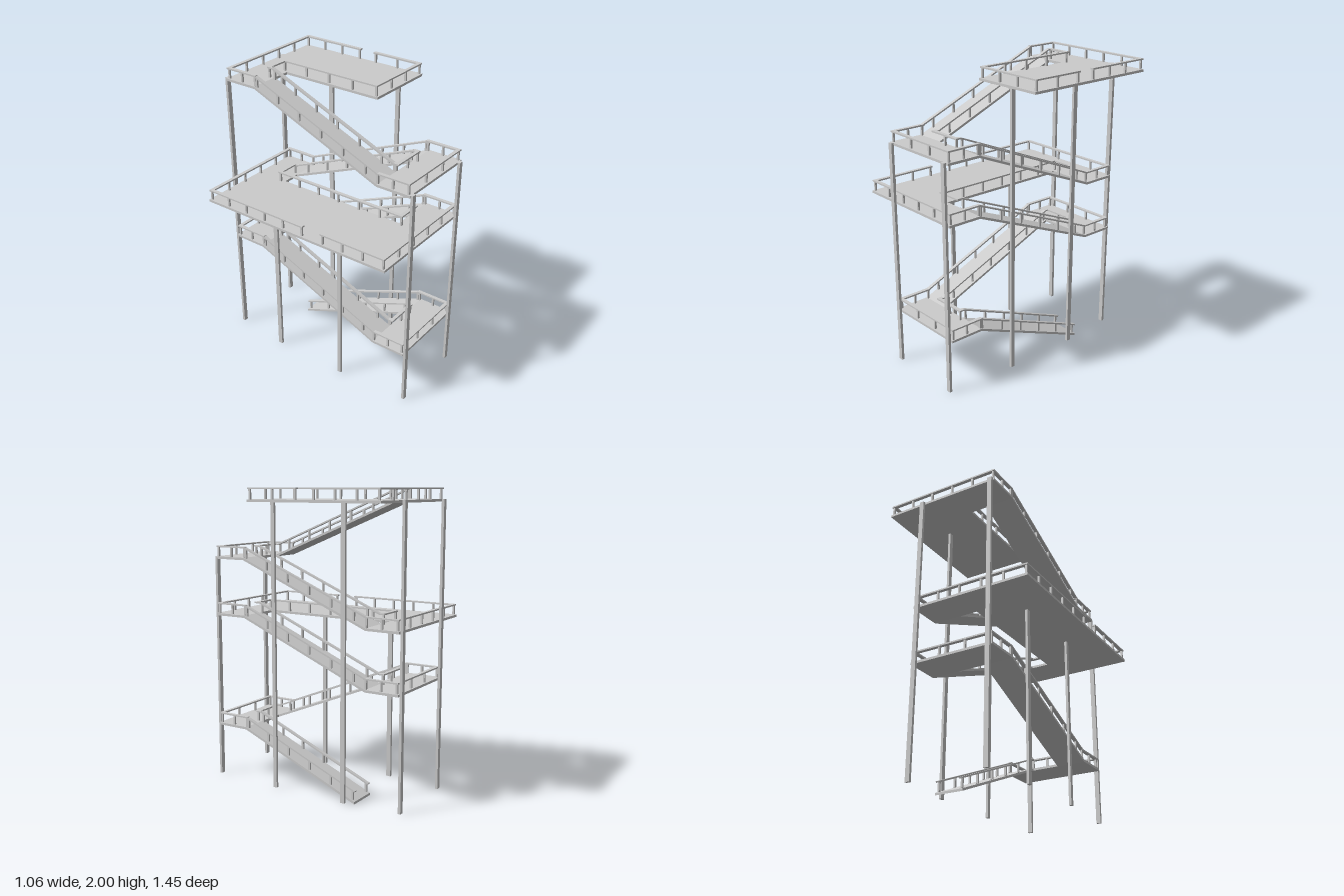
import * as THREE from 'three';

const mat = new THREE.MeshStandardMaterial({ color: 0xcccccc, flatShading: true, side: THREE.DoubleSide });
const SLAB = 0.016, RAIL_W = 0.024, RAIL_T = 0.01, RAIL_Y = 0.067, POST = 0.013;
const END = 0.47; // z where ramps meet the landings
const level = (k) => 0.3875 * k - 0.01;

function add(parent, name, geometry, x = 0, y = 0, z = 0) {
  const mesh = new THREE.Mesh(geometry, mat);
  mesh.name = name;
  mesh.position.set(x, y, z);
  parent.add(mesh);
  return mesh;
}

const polygon = (pts) => new THREE.Shape(pts.map(([a, b]) => new THREE.Vector2(a, b)));

// Flat floor from an (x, z) outline, top surface at y
function addSlab(parent, name, pts, y) {
  const geo = new THREE.ExtrudeGeometry(polygon(pts), { depth: SLAB, bevelEnabled: false });
  geo.rotateX(Math.PI / 2);
  add(parent, name, geo, 0, y, 0);
}

// Handrail bar between two points
function addBar(parent, a, b, extra) {
  const bar = add(parent, 'handrail', new THREE.BoxGeometry(RAIL_W, RAIL_T, a.distanceTo(b) + extra));
  bar.position.copy(a).add(b).multiplyScalar(0.5);
  bar.lookAt(b);
}

function addPost(parent, x, y, z) {
  const h = RAIL_Y;
  add(parent, 'railPost', new THREE.BoxGeometry(POST, h, POST), x, y + h / 2, z);
}

// Level railing along (x, z) points, posts evenly spaced on each run
function addRailing(parent, pts, y) {
  const group = new THREE.Group();
  group.name = 'railing';
  parent.add(group);
  for (let i = 0; i < pts.length - 1; i++) {
    const a = new THREE.Vector3(pts[i][0], y + RAIL_Y, pts[i][1]);
    const b = new THREE.Vector3(pts[i + 1][0], y + RAIL_Y, pts[i + 1][1]);
    const len = a.distanceTo(b);
    addBar(group, a, b, len > 0.1 ? RAIL_W : 0);
    if (len < 0.1) continue;
    const n = Math.ceil(len / 0.19);
    for (let j = i ? 1 : 0; j <= n; j++) {
      const p = a.clone().lerp(b, j / n);
      addPost(group, p.x, y, p.z);
    }
  }
}

// Ramp on side s (+1 / -1) from level k0 to k0 + 1, climbing towards dir * z
function addRamp(parent, k0, s, dir, startZ = END) {
  const group = new THREE.Group();
  group.name = 'ramp';
  parent.add(group);
  const heightAt = (z) => level(k0) + (0.3875 * (z * dir + END)) / (2 * END);
  const z0 = -dir * startZ, z1 = dir * END;
  const y0 = heightAt(z0), y1 = heightAt(z1);
  const geo = new THREE.ExtrudeGeometry(
    polygon([[z0, y0], [z1, y1], [z1, y1 - SLAB], [z0, y0 - SLAB]]),
    { depth: 0.2, bevelEnabled: false });
  geo.rotateY(-Math.PI / 2);
  add(group, 'rampDeck', geo, s * 0.193 + 0.1, 0, 0);
  for (const x of [0.11 * s, 0.278 * s]) {
    addBar(group, new THREE.Vector3(x, y0 + RAIL_Y, z0), new THREE.Vector3(x, y1 + RAIL_Y, z1), 0);
    for (let k = 0; k < 6; k++) {
      const z = z1 - dir * (0.015 + 0.167 * k);
      addPost(group, x, heightAt(z), z);
    }
  }
}

// Half landing at the front (dir 1) or back (dir -1)
function addLanding(parent, k, dir) {
  const y = level(k), a = dir * END, b = dir * 0.705;
  addSlab(parent, 'landing', [[-0.293, a], [0.293, a], [0.293, b], [-0.293, b]], y);
  for (const [x, z] of [[0.278, 0.688], [0.11, 0.498]])
    addRailing(parent, [[-x, a], [-x, dir * z], [x, dir * z], [x, a]], y);
}

export function createModel() {
  const model = new THREE.Group();
  model.name = 'rampTower';

  // Ramps
  addRamp(model, 0, 1, 1, 0.4);
  addRamp(model, 1, -1, -1);
  addRamp(model, 2, 1, 1);
  addRamp(model, 3, 1, 1);
  addRamp(model, 4, -1, -1);

  // Half landings
  addLanding(model, 1, 1);
  addLanding(model, 2, -1);
  addLanding(model, 4, 1);

  // Middle platform: C-shaped, with a doorway gap on its outer side
  const mid = level(3);
  addSlab(model, 'middlePlatform', [[-0.533, -0.705], [0.293, -0.705], [0.293, -END], [-0.03, -END],
    [-0.03, END], [0.293, END], [0.293, 0.705], [-0.533, 0.705]], mid);
  addRailing(model, [[0.278, END], [0.278, 0.688], [-0.518, 0.688], [-0.518, 0.24]], mid);
  addRailing(model, [[-0.518, 0.077], [-0.518, -0.688], [0.278, -0.688], [0.278, -END]], mid);
  addRailing(model, [[0.11, END], [0.11, 0.498], [-0.045, 0.498], [-0.045, -0.498],
    [0.11, -0.498], [0.11, -END]], mid);

  // Top platform: L-shaped, with a doorway gap on its outer side
  const top = level(5);
  addSlab(model, 'topPlatform', [[-0.293, -0.705], [0.53, -0.705], [0.53, 0.245], [0.026, 0.245],
    [0.026, -END], [-0.293, -END]], top);
  addRailing(model, [[-0.278, -END], [-0.278, -0.688], [0.518, -0.688], [0.518, -0.245]], top);
  addRailing(model, [[0.518, -0.113], [0.518, 0.228], [0.04, 0.228], [0.04, -0.498],
    [-0.11, -0.498], [-0.11, -END]], top);

  // Columns at the four corners
  for (const x of [-0.27, 0.26])
    for (const [z, k] of [[0.714, 4], [-0.714, 5]])
      add(model, 'cornerColumn', new THREE.BoxGeometry(0.031, level(k), 0.018), x, level(k) / 2, z);

  // Columns along the sides, under the two platforms
  for (const [x, k] of [[0.301, 5], [-0.314, 3]])
    for (const [z, w] of [[0.214, 0.027], [-0.319, 0.032]]) {
      const h = level(k) - SLAB;
      add(model, 'sideColumn', new THREE.BoxGeometry(0.017, h, w), x, h / 2, z);
    }

  return model;
}
